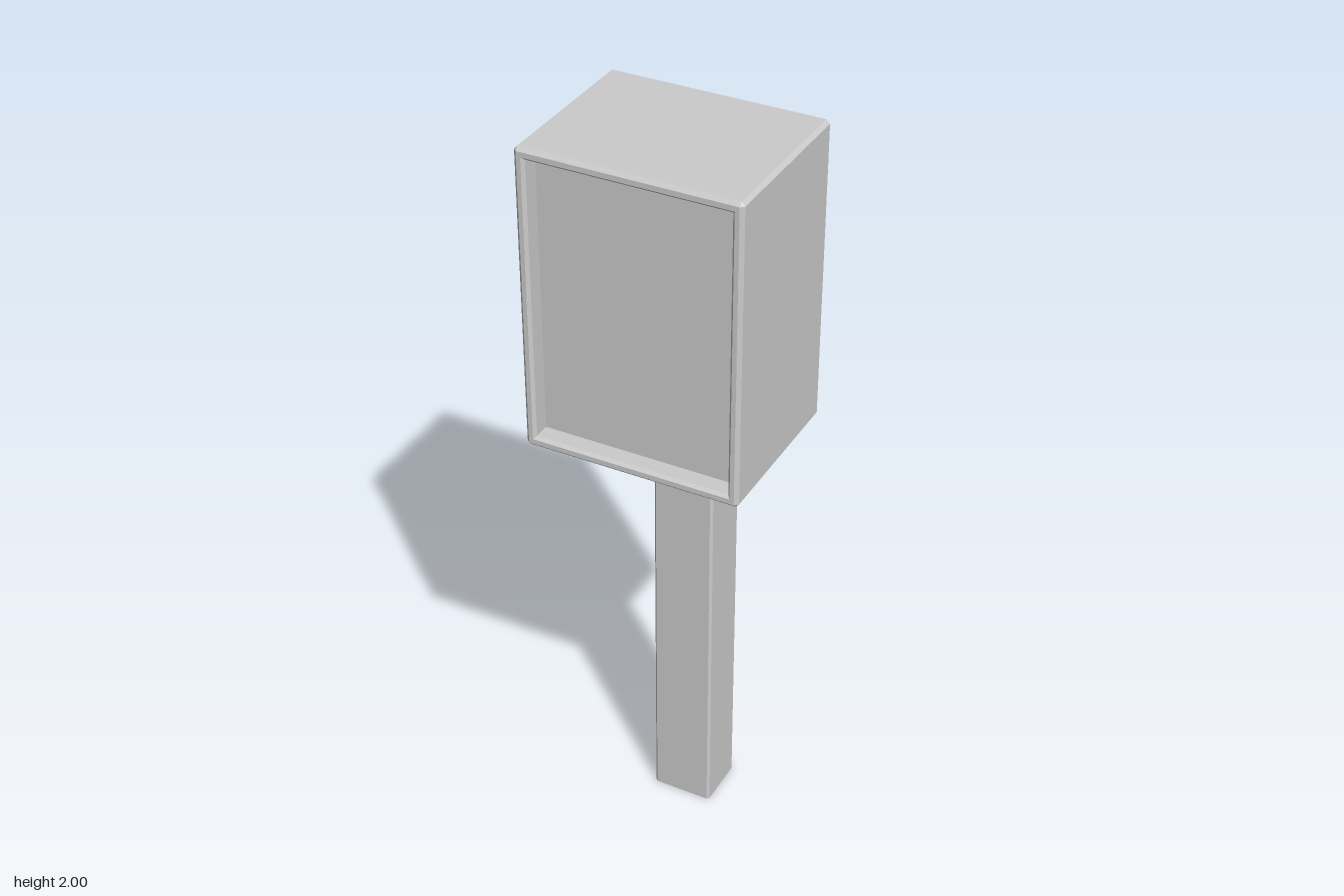
import * as THREE from 'three';

const material = new THREE.MeshStandardMaterial({ color: 0xcccccc, flatShading: true });

// Rectangle with cut corners, counter-clockwise seen from +z
function ring(halfW, halfH, z, cut = 0) {
  const w = halfW, h = halfH, c = cut;
  return [[w, -h + c], [w, h - c], [w - c, h], [-w + c, h],
    [-w, h - c], [-w, -h + c], [-w + c, -h], [w - c, -h]]
    .map(([x, y]) => new THREE.Vector3(x, y, z));
}

// Flat-shaded skin through successive rings, closed at both ends
function loft(rings) {
  const points = [];
  const triangle = (a, b, c) => {
    const area = b.clone().sub(a).cross(c.clone().sub(a)).length();
    if (area > 1e-9) points.push(a, b, c);
  };
  for (let r = 0; r < rings.length - 1; r++) {
    const a = rings[r], b = rings[r + 1];
    for (let i = 0; i < a.length; i++) {
      const j = (i + 1) % a.length;
      triangle(a[i], a[j], b[j]);
      triangle(a[i], b[j], b[i]);
    }
  }
  const first = rings[0], last = rings[rings.length - 1];
  for (let i = 1; i < first.length - 1; i++) {
    triangle(first[0], first[i + 1], first[i]);
    triangle(last[0], last[i], last[i + 1]);
  }
  const geometry = new THREE.BufferGeometry().setFromPoints(points);
  geometry.computeVertexNormals();
  return geometry;
}

export function createModel() {
  const group = new THREE.Group();

  // Bevelled cabinet with a recessed front panel
  const bevel = 0.009, w = 0.277, h = 0.39, back = -0.219, front = 0.219;
  const cabinet = new THREE.Mesh(loft([
    ring(w - bevel, h - bevel, back),
    ring(w, h, back + bevel, bevel),
    ring(w, h, front - bevel, bevel),
    ring(w - bevel, h - bevel, front),
    ring(0.257, 0.368, front),
    ring(0.25, 0.361, front - 0.008),
    ring(0.25, 0.361, front - 0.05),
  ]), material);
  cabinet.name = 'cabinet';
  cabinet.position.y = 2 - h;
  group.add(cabinet);

  // Post with cut vertical edges, set towards the back
  const postHeight = 1.225;
  const post = new THREE.Mesh(loft([
    ring(0.081, 0.073, 0, 0.006),
    ring(0.081, 0.073, postHeight, 0.006),
  ]), material);
  post.name = 'post';
  post.rotation.x = -Math.PI / 2;
  post.position.z = -0.122;
  group.add(post);

  return group;
}
